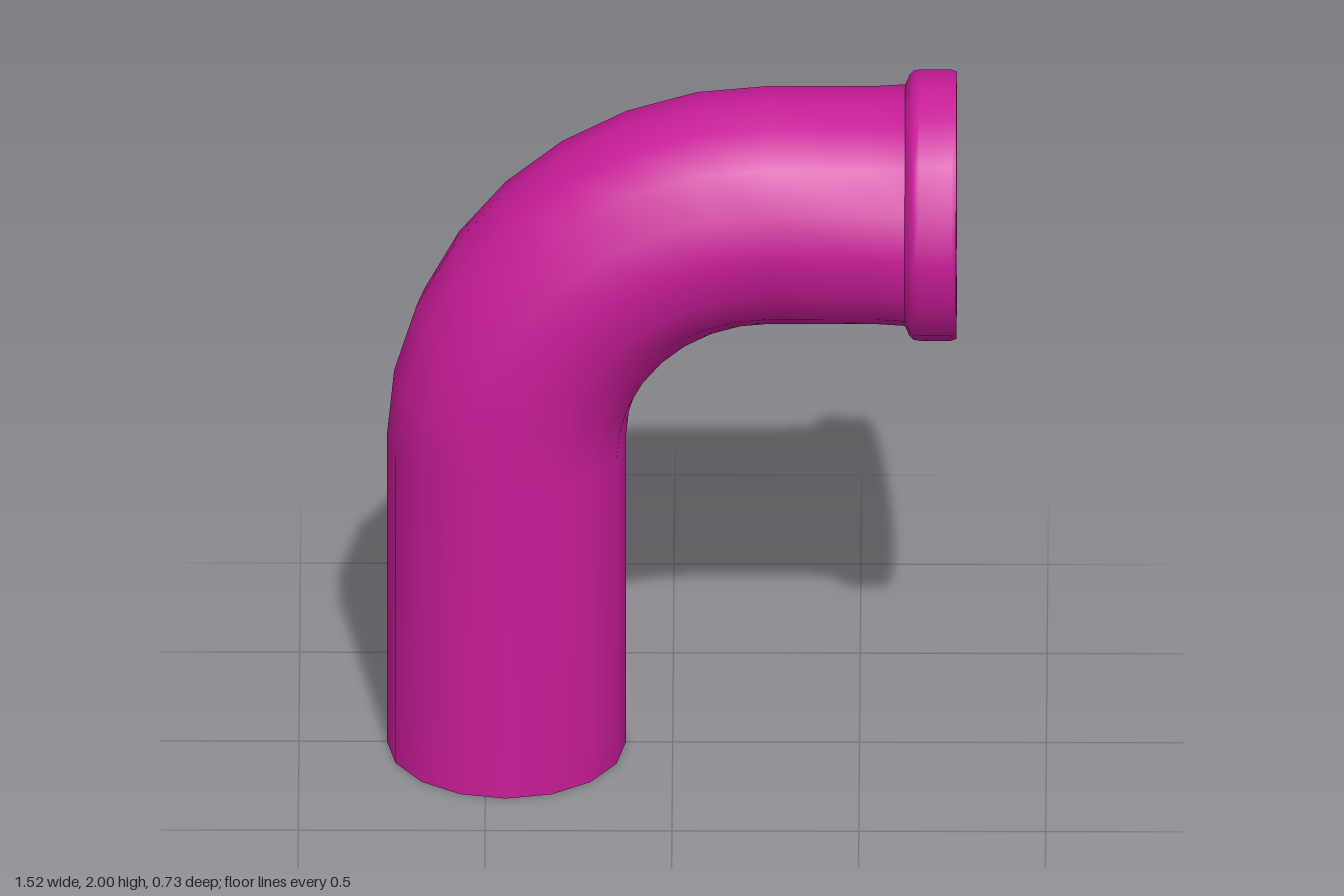
import * as THREE from 'three';
import { toCreasedNormals } from 'three/addons/utils/BufferGeometryUtils.js';

const SIDES = 16;
const RADIUS = 0.32;
const LEG_X = -0.445;   // axis of the upright run
const ARM_Y = 1.635;    // axis of the level run
const BEND = 0.705;     // centreline radius of the elbow

// Skin of a tube through rings given as { x, y, angle, r }; angle 0 points up, PI/2 points to +x
function tubeFromRings(rings) {
  const positions = [];
  const index = [];
  rings.forEach(({ x, y, angle, r }, i) => {
    for (let k = 0; k < SIDES; k++) {
      const a = (k / SIDES) * Math.PI * 2;
      const out = r * Math.cos(a);
      positions.push(x - out * Math.cos(angle), y + out * Math.sin(angle), r * Math.sin(a));
      if (i === rings.length - 1) continue;
      const next = (k + 1) % SIDES;
      const p = i * SIDES + k, q = i * SIDES + next;
      index.push(p, q, q + SIDES, p, q + SIDES, p + SIDES);
    }
  });
  const geometry = new THREE.BufferGeometry();
  geometry.setAttribute('position', new THREE.Float32BufferAttribute(positions, 3));
  geometry.setIndex(index);
  geometry.computeVertexNormals();
  return geometry;
}

export function createModel() {
  const group = new THREE.Group();
  group.name = 'elbowPipe';
  const material = new THREE.MeshStandardMaterial({ color: 0xc71c97, side: THREE.DoubleSide });

  // Pipe: upright run, quarter bend, level run with a slight flare
  const rings = [{ x: LEG_X, y: 0, angle: 0, r: RADIUS }];
  const steps = 8;
  for (let i = 0; i <= steps; i++) {
    const angle = (i / steps) * Math.PI / 2;
    rings.push({
      x: LEG_X + BEND * (1 - Math.cos(angle)),
      y: ARM_Y - BEND * (1 - Math.sin(angle)),
      angle,
      r: RADIUS,
    });
  }
  for (const [x, r] of [[0.54, RADIUS], [0.625, 0.325]]) {
    rings.push({ x, y: ARM_Y, angle: Math.PI / 2, r });
  }
  const pipe = new THREE.Mesh(tubeFromRings(rings), material);
  pipe.name = 'pipe';
  group.add(pipe);

  // Socket collar: outer shell, rim and inner wall; profile is [radius, x]
  const profile = [
    [0.325, 0.622], [0.35, 0.633], [0.362, 0.645], [0.365, 0.66],
    [0.365, 0.745], [0.36, 0.76], [0.328, 0.76], [0.324, 0.75], [0.324, 0.622],
  ].map(([r, x]) => new THREE.Vector2(r, x));
  const collarGeometry = toCreasedNormals(new THREE.LatheGeometry(profile, SIDES), 0.7);
  collarGeometry.rotateZ(-Math.PI / 2);
  const collar = new THREE.Mesh(collarGeometry, material);
  collar.name = 'socketCollar';
  collar.position.y = ARM_Y;
  group.add(collar);

  return group;
}
